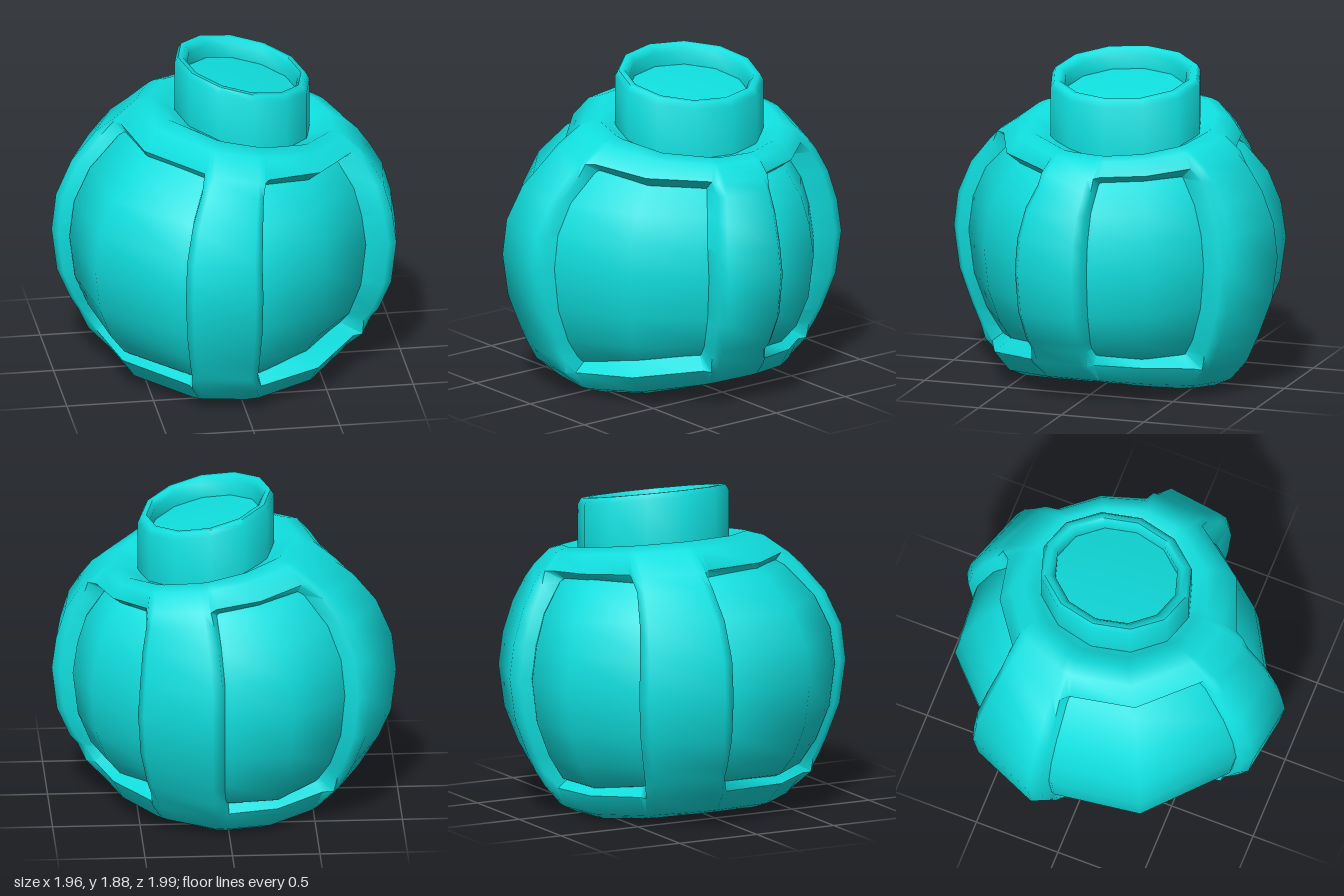
import * as THREE from 'three';
import { toCreasedNormals } from 'three/addons/utils/BufferGeometryUtils.js';

const DEG = Math.PI / 180;

// Lofts closed rings from top to bottom. Row: [rx, rz, y, tilt, saddle, cx, cz];
// scale(row, column) pushes a single point in or out.
function loft(rows, angles, scale = () => 1) {
  const pos = [], index = [], n = angles.length;
  rows.forEach(([rx, rz, y, tilt, saddle, cx, cz], r) => {
    angles.forEach((deg, c) => {
      const a = deg * DEG, s = scale(r, c);
      pos.push(
        cx + rx * s * Math.cos(a),
        y + tilt * Math.cos(a) + saddle * Math.cos(2 * a),
        cz + rz * s * Math.sin(a));
    });
  });
  for (let r = 0; r < rows.length - 1; r++) {
    for (let c = 0; c < n; c++) {
      const d = (c + 1) % n;
      const a = r * n + c, b = r * n + d, e = a + n, f = b + n;
      if (rows[r][0] > 0) index.push(a, b, e);
      if (rows[r + 1][0] > 0) index.push(b, f, e);
    }
  }
  const geo = new THREE.BufferGeometry();
  geo.setAttribute('position', new THREE.Float32BufferAttribute(pos, 3));
  geo.setIndex(index);
  return toCreasedNormals(geo, 1.1);
}

export function createModel() {
  const group = new THREE.Group();
  const material = new THREE.MeshStandardMaterial({ color: 0x10dede, side: THREE.DoubleSide });
  const add = (name, geo) => {
    const mesh = new THREE.Mesh(geo, material);
    mesh.name = name;
    group.add(mesh);
  };

  // Shell columns: four raised ribs [centre, width], each followed by a panel middle
  const ribs = [[7, 0.95], [99.5, 1], [203.5, 1.2], [288.5, 1.13]];
  const panelMids = [54, 152, 248, 330];
  const profile = [[-16, 0.76], [-13.5, 0.96], [-10.5, 1], [10.5, 1], [13.5, 0.96], [16, 0.76]];
  const columns = [];
  ribs.forEach(([centre, width], i) => {
    profile.forEach(([offset, depth]) => columns.push({ angle: centre + offset * width, depth }));
    columns.push({ angle: panelMids[i], depth: 0.76 });
  });

  // Shell rows: collar, ribs around the panel openings, base rim and bottom
  const shellRows = [
    [0.36, 0.40, 1.47, -0.07, 0, 0.1, -0.07],
    [0.43, 0.47, 1.49, -0.075, 0, 0.1, -0.07],
    [0.52, 0.53, 1.53, -0.085, 0, 0.1, -0.07],
    [0.60, 0.62, 1.505, -0.08, 0, 0.09, -0.06],
    [0.71, 0.735, 1.41, -0.065, 0, 0.07, -0.04],
    [0.79, 0.80, 1.335, -0.06, 0, 0.05, -0.03],
    [0.895, 0.90, 1.19, -0.04, 0, 0.02, -0.01],
    [0.965, 0.975, 1.0, -0.02, 0, 0, 0],
    [0.99, 1.0, 0.8, 0, 0, 0, 0],
    [0.96, 0.965, 0.55, 0, 0, 0, 0],
    [0.885, 0.885, 0.36, 0, 0.02, 0, 0],
    [0.84, 0.84, 0.28, 0.01, 0.04, 0, 0],
    [0.79, 0.79, 0.19, 0.015, 0.035, 0, 0],
    [0.67, 0.67, 0.075, 0.025, 0.035, 0.01, -0.02],
    [0.59, 0.58, 0.041, 0.025, 0.04, 0.01, -0.03],
    [0.54, 0.53, 0.07, 0.025, 0.035, 0.01, -0.03],
    [0.52, 0.51, 0.13, 0.01, 0.02, 0.01, -0.03],
    [0.30, 0.30, 0.05, 0, 0, 0, -0.03],
    [0, 0, 0.02, 0, 0, 0, -0.03],
  ];
  const firstPanelRow = 5, lastPanelRow = 11;
  add('ribbedShell', loft(shellRows, columns.map(c => c.angle), (r, c) => {
    const { angle, depth } = columns[c];
    if (r >= firstPanelRow && r <= lastPanelRow) {
      return depth * (1 - 0.012 * Math.cos((angle - 35) * DEG));
    }
    // the lips above and below each panel sit slightly inside the ribs
    const lip = r === firstPanelRow - 1 || r === lastPanelRow + 1;
    return lip && depth < 0.9 ? 0.94 : 1;
  }));

  // Sunken panels: an uneven twelve-sided globe inside the shell
  const globe = [
    [22, 0.815], [54, 0.805], [85, 0.885], [115, 0.925], [152, 0.935], [185, 0.90],
    [220, 0.885], [248, 0.955], [270, 0.915], [304, 0.83], [330, 0.895], [351, 0.875],
  ];
  add('sunkenPanels', loft([
    [0.55, 0.55, 1.45, -0.07, 0, 0.07, -0.04],
    [0.74, 0.74, 1.345, -0.06, 0, 0.05, -0.03],
    [0.89, 0.89, 1.18, -0.04, 0, 0.02, -0.01],
    [0.97, 0.97, 1.0, -0.02, 0, 0, 0],
    [1.0, 1.0, 0.8, 0, 0, 0, 0],
    [0.965, 0.965, 0.55, 0, 0, 0, 0],
    [0.88, 0.88, 0.36, 0, 0.01, 0, 0],
    [0.78, 0.78, 0.24, 0.01, 0.03, 0, 0],
    [0.60, 0.60, 0.17, 0.01, 0.03, 0, 0],
  ], globe.map(g => g[0]), (r, c) => globe[c][1]));

  // Neck: oval tube with a slanted lip and a shallow stopper inside
  const neckAngles = Array.from({ length: 12 }, (_, i) => i * 30);
  const neckRow = (rx, rz, y) => [rx, rz, y, -0.2 * rx, 0, 0.1, -0.075];
  add('neck', loft([
    neckRow(0.32, 0.36, 1.68),
    neckRow(0.32, 0.36, 1.77),
    neckRow(0.34, 0.39, 1.805),
    neckRow(0.37, 0.425, 1.805),
    neckRow(0.39, 0.445, 1.77),
    neckRow(0.39, 0.445, 1.44),
  ], neckAngles));
  add('stopper', loft([neckRow(0, 0, 1.71), neckRow(0.33, 0.37, 1.69)], neckAngles));

  return group;
}
